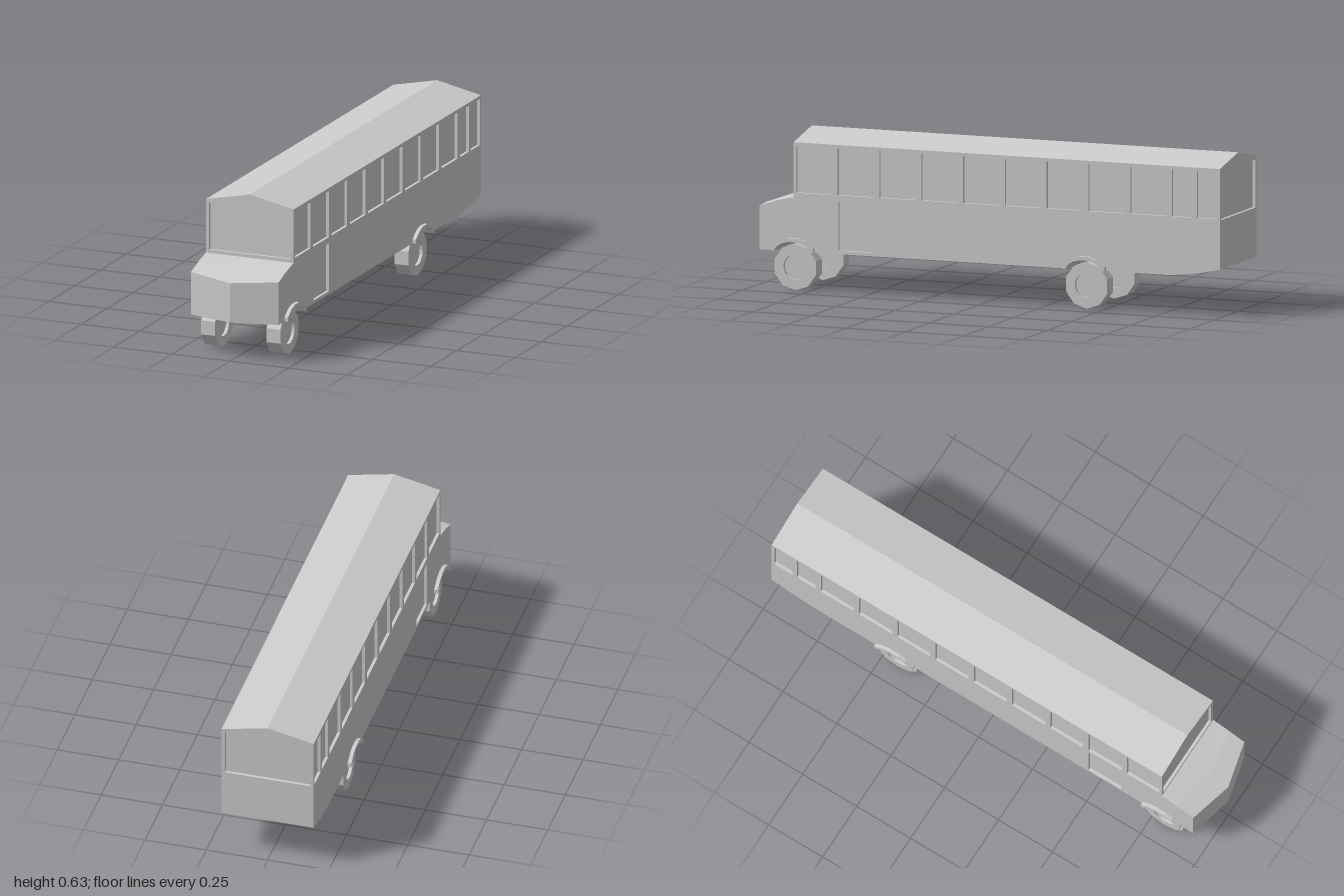
import * as THREE from 'three';

const material = new THREE.MeshStandardMaterial({ color: 0xcccccc, flatShading: true, side: THREE.DoubleSide });
const HALF = 0.188;    // half width of the body
const WALL = 0.012;    // wall thickness, also the window recess
const FLOOR = 0.157;
const AXLES = [0.81, -0.427];

// Half of a wheel arch, as [distance along z, height]
const ARCH_IN = [[0.077, FLOOR], [0.068, 0.173], [0.045, 0.188], [0.018, 0.195]];
const ARCH_OUT = [[0.089, FLOOR], [0.089, 0.174], [0.052, 0.2], [0.02, 0.21]];
const arch = (half, z) => [
  ...half.map(([d, y]) => [z + d, y]),
  ...half.slice().reverse().map(([d, y]) => [z - d, y]),
];

const points = list => list.map(([a, b]) => new THREE.Vector2(a, b));
const rect = (a0, a1, b0, b1) => [[a0, b0], [a1, b0], [a1, b1], [a0, b1]];

function plate(outline, holes, depth) {
  const shape = new THREE.Shape(points(outline));
  holes.forEach(h => shape.holes.push(new THREE.Path(points(h))));
  return new THREE.ExtrudeGeometry(shape, { depth, bevelEnabled: false });
}

// Plate drawn in (z, y), occupying x0 .. x0 + depth
const sidePlate = (outline, holes, depth, x0) =>
  plate(outline, holes, depth).rotateY(-Math.PI / 2).translate(x0 + depth, 0, 0);

// Skin across the body from a side profile and a centreline profile, both [z, y]
function skin(side, centre) {
  const pos = [];
  const add = (...v) => v.forEach(p => pos.push(...p));
  for (let i = 0; i < side.length - 1; i++) {
    const at = (x, k) => [x, ...(x === 0 ? centre[k] : side[k]).slice().reverse()];
    for (const [xa, xb] of [[-HALF, 0], [0, HALF]]) {
      const a = at(xa, i), b = at(xa, i + 1), c = at(xb, i), d = at(xb, i + 1);
      add(a, b, c, c, b, d);
    }
  }
  const g = new THREE.BufferGeometry();
  g.setAttribute('position', new THREE.Float32BufferAttribute(pos, 3));
  g.computeVertexNormals();
  return g;
}

export function createModel() {
  const bus = new THREE.Group();
  bus.name = 'bus';
  const add = (name, geometry, parent = bus) => {
    const mesh = new THREE.Mesh(geometry, material);
    mesh.name = name;
    parent.add(mesh);
    return mesh;
  };

  // Profiles: bonnet and nose, then the underside with its wheel arches
  const noseSide = [[0.81, 0.372], [0.885, 0.354], [0.955, 0.33], [0.955, FLOOR]];
  const noseCentre = [[0.81, 0.372], [0.915, 0.345], [1, 0.317], [1, FLOOR]];
  const under = [
    ...AXLES.flatMap(z => arch(ARCH_IN, z)),
    [-0.79, FLOOR], [-0.9, 0.17], [-1, 0.19],
  ];
  add('noseAndUnderside', skin([...noseSide, ...under], [...noseCentre, ...under]));
  add('roof', skin([[-1, 0.59], [0.81, 0.59]], [[-1, 0.63], [0.81, 0.63]]));

  // Side walls with window and door openings
  const windows = [];
  for (let i = 0; i < 9; i++) {
    const front = 0.8 - i * 0.1775;
    windows.push(rect(front - 0.152, front, 0.39, 0.577));
  }
  windows.push(rect(-0.882, -0.796, 0.39, 0.577), rect(-0.988, -0.903, 0.39, 0.577));
  const door = rect(0.47, 0.62, 0.17, 0.365);
  const sideOutline = [...noseSide, ...under, [-1, 0.59], [0.81, 0.59]];
  for (const [name, x0] of [['left', HALF - WALL], ['right', -HALF]]) {
    add(name + 'SideWall', sidePlate(sideOutline, [...windows, door], WALL, x0));
  }

  // Gabled end walls with the windscreen and rear window openings
  const gable = y => [[-HALF, y], [HALF, y], [HALF, 0.59], [0, 0.63], [-HALF, 0.59]];
  const pane = rect(-0.174, 0.174, 0.386, 0.576);
  add('frontWall', plate(gable(0.372), [pane], WALL)).position.z = 0.81 - WALL;
  add('rearWall', plate(gable(0.19), [pane], WALL)).position.z = -1;

  // Recessed panes and door panels
  const inner = 2 * (HALF - WALL);
  add('windowPanes', new THREE.BoxGeometry(inner, 0.207, 1.786)).position.set(0, 0.4825, -0.095);
  add('doorPanels', new THREE.BoxGeometry(inner, 0.2, 0.155)).position.set(0, 0.2675, 0.545);

  // Wheels with sunken hubs, and mudguards over them
  const ring = (n, r) => Array.from({ length: n }, (_, i) => {
    const a = (i / n) * Math.PI * 2;
    return [Math.sin(a) * r, Math.cos(a) * r];
  });
  const tyre = sidePlate(ring(10, 0.092), [ring(20, 0.05)], 0.06, -0.03);
  const hub = new THREE.CylinderGeometry(0.05, 0.05, 0.034, 20).rotateZ(Math.PI / 2);
  AXLES.forEach((z, i) => {
    const end = i === 0 ? 'front' : 'rear';
    for (const [side, s] of [['Left', 1], ['Right', -1]]) {
      const wheel = new THREE.Group();
      wheel.name = end + side + 'Wheel';
      wheel.position.set(s * 0.14, 0.092, z);
      add('tyre', tyre, wheel);
      add('hub', hub, wheel);
      bus.add(wheel);
      const outline = [...arch(ARCH_OUT, z), ...arch(ARCH_IN, z).reverse()];
      add(end + side + 'Mudguard', sidePlate(outline, [], 0.015, s > 0 ? HALF : -HALF - 0.015));
    }
  });
  return bus;
}
